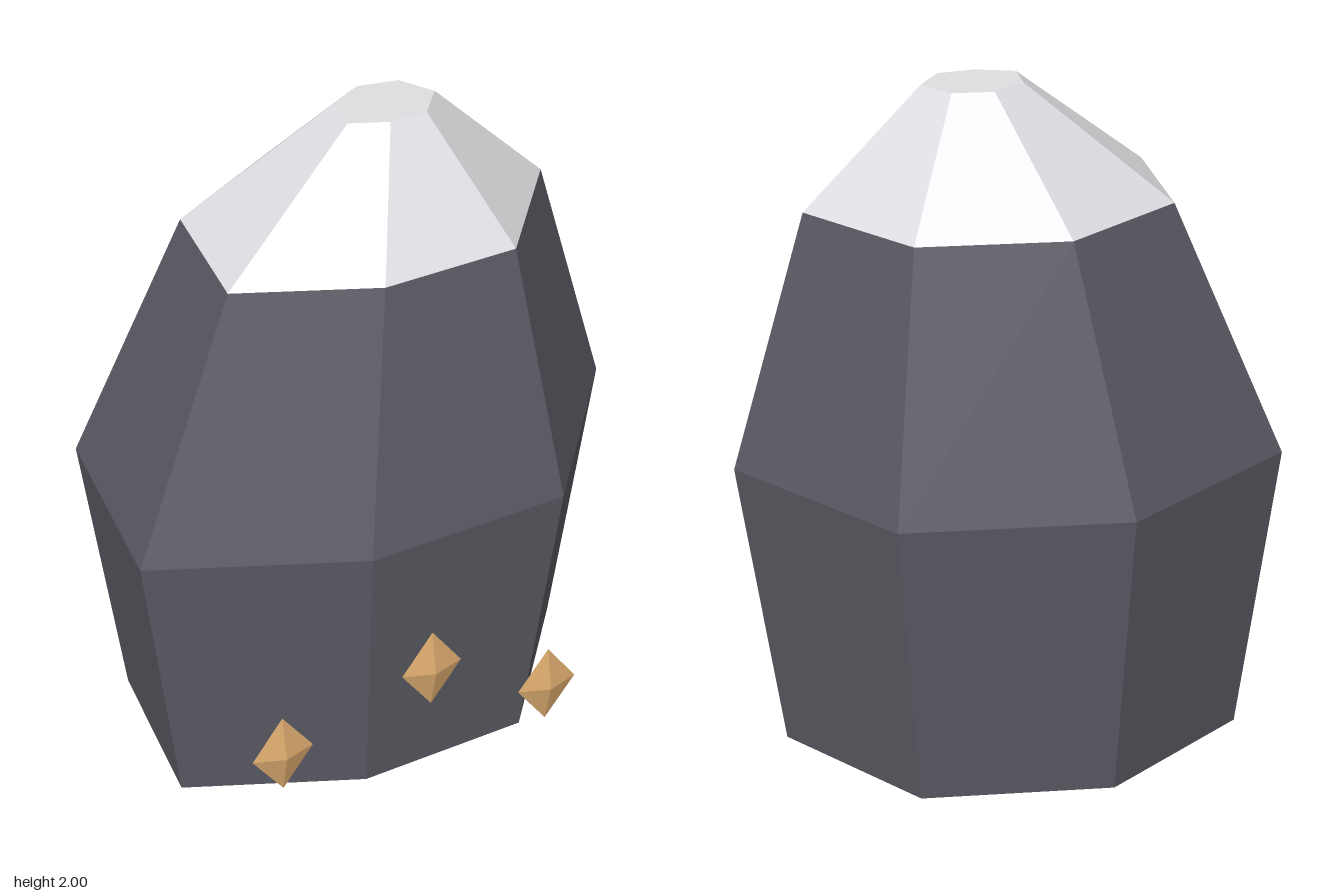
import * as THREE from 'three';

const rockMat = new THREE.MeshStandardMaterial({ color: 0x5a5a64 });
rockMat.name = 'slate rock';
const snowMat = new THREE.MeshStandardMaterial({ color: 0xdfdee2 });
snowMat.name = 'pale cap';
const amberMat = new THREE.MeshStandardMaterial({ color: 0xdbaa6e });
amberMat.name = 'amber crystal';
for (const m of [rockMat, snowMat, amberMat]) m.flatShading = true;

// Irregular seven-sided outline (x, z) at the widest level
const OUTLINE = [
  [0.79, 0.04], [0.41, 0.54], [-0.2, 0.57], [-0.795, 0.34],
  [-0.76, -0.25], [-0.22, -0.577], [0.43, -0.477],
];

// The outline scaled and shifted at height y
const ring = (y, scale, dx, dz) =>
  OUTLINE.map(([x, z]) => new THREE.Vector3(x * scale + dx, y, z * scale + dz));

// Faceted skin over a stack of rings, with optional end caps
function loft(rings, capBottom, capTop) {
  const tris = [];
  const n = OUTLINE.length;
  for (let r = 0; r < rings.length - 1; r++) {
    const lo = rings[r], hi = rings[r + 1];
    for (let i = 0; i < n; i++) {
      const j = (i + 1) % n;
      tris.push(lo[i], hi[i], lo[j], lo[j], hi[i], hi[j]);
    }
  }
  for (let i = 1; i < n - 1; i++) {
    const b = rings[0], t = rings[rings.length - 1];
    if (capBottom) tris.push(b[0], b[i], b[i + 1]);
    if (capTop) tris.push(t[0], t[i + 1], t[i]);
  }
  const geo = new THREE.BufferGeometry().setFromPoints(tris);
  geo.computeVertexNormals();
  return geo;
}

export function createModel() {
  const group = new THREE.Group();
  group.name = 'rockPeak';
  const add = (name, geo, mat) => {
    const mesh = new THREE.Mesh(geo, mat);
    mesh.name = name;
    group.add(mesh);
    return mesh;
  };

  const base = ring(0, 0.853, -0.01, 0.006);
  const waist = ring(0.9, 1, 0, 0);
  const shoulder = ring(1.66, 0.656, 0.051, 0.013);
  const summit = ring(2, 0.18, 0.088, 0.033);

  // Dark rock body and pale summit
  add('rockBody', loft([base, waist, shoulder], true, false), rockMat);
  add('snowCap', loft([shoulder, summit], false, true), snowMat);

  // Flattened crystals on the front face
  const crystalGeo = new THREE.OctahedronGeometry(1).scale(0.094, 0.135, 0.029);
  [[-0.47, 0.265], [0, 0.413], [0.382, 0.208]].forEach(([x, y], i) => {
    add(`crystal${i + 1}`, crystalGeo, amberMat).position.set(x, y, 0.547);
  });

  return group;
}
